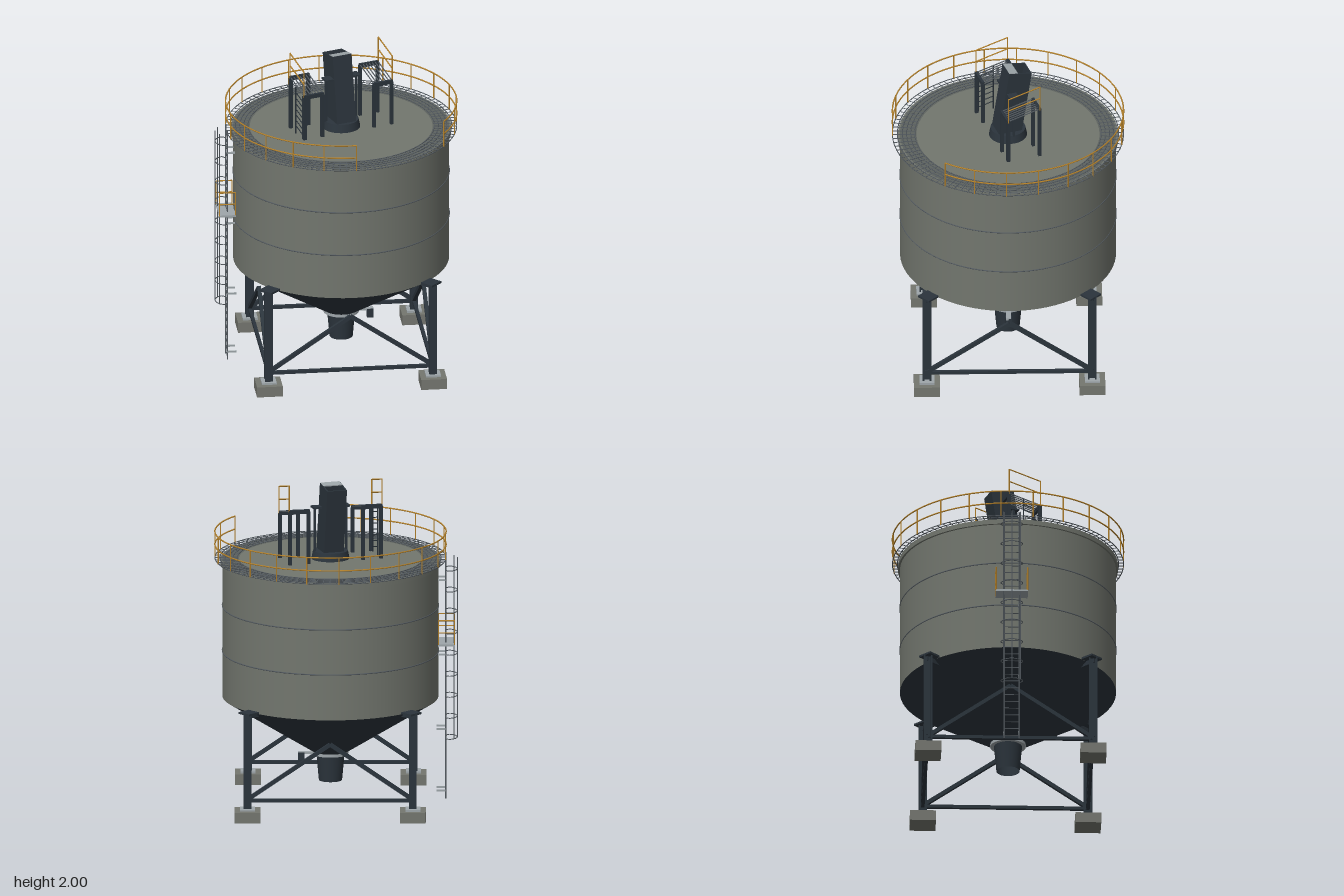
import * as THREE from 'three';

const mat = (name, color, side = THREE.FrontSide) => {
  const m = new THREE.MeshStandardMaterial({ color, side });
  m.name = name;
  return m;
};
const shell = mat('shell grey', 0x72766e);
const walk = mat('walkway grey', 0x5e635f);
const dark = mat('dark steel', 0x2b343c, THREE.DoubleSide);
const steel = mat('galvanised steel', 0x9ea6aa);
const grate = mat('grating steel', 0x555c62);
const yellow = mat('safety yellow', 0xb9852c);
const concrete = mat('concrete', 0x74766f);

function add(parent, name, geo, material, x = 0, y = 0, z = 0) {
  const m = new THREE.Mesh(geo, material);
  m.name = name;
  m.position.set(x, y, z);
  parent.add(m);
  return m;
}
const box = (p, name, m, w, h, d, x, y, z) => add(p, name, new THREE.BoxGeometry(w, h, d), m, x, y, z);
const cyl = (p, name, m, rt, rb, h, y, open = false, seg = 72) =>
  add(p, name, new THREE.CylinderGeometry(rt, rb, h, seg, 1, open), m, 0, y, 0);

// Straight bar between two points, round or square
function bar(p, name, m, a, b, r, square = false) {
  const A = new THREE.Vector3(...a), B = new THREE.Vector3(...b);
  const len = A.distanceTo(B);
  const geo = square ? new THREE.BoxGeometry(2 * r, len, 2 * r) : new THREE.CylinderGeometry(r, r, len, 6);
  const mesh = add(p, name, geo, m);
  mesh.position.copy(A).add(B).multiplyScalar(0.5);
  mesh.quaternion.setFromUnitVectors(new THREE.Vector3(0, 1, 0), B.sub(A).normalize());
  return mesh;
}

// Horizontal ring or arc; angles run from +x towards +z
function ring(p, name, m, R, r, y, start = 0, arc = Math.PI * 2) {
  const g = new THREE.TorusGeometry(R, r, 5, 96, arc);
  g.rotateX(Math.PI / 2);
  g.rotateY(-start);
  return add(p, name, g, m, 0, y, 0);
}
function group(parent, name) {
  const g = new THREE.Group();
  g.name = name;
  parent.add(g);
  return g;
}

function buildTank(t) {
  cyl(t, 'tankShell', shell, 0.65, 0.65, 0.84, 1.075);
  cyl(t, 'topCurb', shell, 0.662, 0.662, 0.03, 1.485);
  for (const y of [0.936, 1.214]) ring(t, 'weldSeam', grate, 0.65, 0.004, y);
  cyl(t, 'hopperCone', dark, 0.65, 0.1, 0.345, 0.4825, true);
  cyl(t, 'outletFlange', steel, 0.107, 0.107, 0.025, 0.308, false, 32);
  cyl(t, 'outletSpout', dark, 0.085, 0.07, 0.165, 0.2175, true, 32);
  box(t, 'valveArm', steel, 0.1, 0.012, 0.03, 0.145, 0.303, 0);
  box(t, 'valveActuator', dark, 0.04, 0.055, 0.04, 0.175, 0.278, 0);
}

function buildWalkway(t) {
  // Grating around the roof edge
  const band = new THREE.RingGeometry(0.55, 0.65, 72);
  band.rotateX(-Math.PI / 2);
  add(t, 'walkwayBand', band, walk, 0, 1.503, 0);
  for (const R of [0.56, 0.585, 0.61, 0.635, 0.665, 0.695]) ring(t, 'gratingRing', grate, R, 0.003, 1.508);
  for (let i = 0; i < 100; i++) {
    const a = (i / 100) * Math.PI * 2, c = Math.cos(a), s = Math.sin(a);
    bar(t, 'gratingBar', grate, [0.56 * c, 1.507, 0.56 * s], [0.695 * c, 1.507, 0.695 * s], 0.002, true);
  }
  // Guardrail with an opening at the front left
  const start = THREE.MathUtils.degToRad(89), arc = THREE.MathUtils.degToRad(305);
  for (const y of [1.59, 1.67]) ring(t, 'guardrail', yellow, 0.695, 0.0045, y, start, arc);
  for (let i = 0; i < 20; i++) {
    const a = start + (arc * i) / 19, x = 0.695 * Math.cos(a), z = 0.695 * Math.sin(a);
    bar(t, 'guardrailPost', yellow, [x, 1.505, z], [x, 1.67, z], 0.004);
  }
}

function buildSupport(t) {
  const L = 0.497;
  for (const sx of [-1, 1]) for (const sz of [-1, 1]) {
    const leg = group(t, 'leg');
    leg.position.set(sx * L, 0, sz * L);
    box(leg, 'footing', concrete, 0.156, 0.065, 0.156, 0, 0.0325, 0);
    box(leg, 'basePlate', steel, 0.09, 0.012, 0.09, 0, 0.071, 0);
    // H-section column
    for (const s of [-1, 1]) box(leg, 'columnFlange', dark, 0.046, 0.59, 0.01, 0, 0.37, s * 0.021);
    box(leg, 'columnWeb', dark, 0.01, 0.59, 0.036, 0, 0.37, 0);
    // Bracket reaching in under the shell
    const bracket = group(leg, 'bracket');
    bracket.rotation.y = Math.atan2(-sz, sx);
    box(bracket, 'bracketPlate', dark, 0.17, 0.012, 0.09, -0.055, 0.662, 0);
    box(bracket, 'bracketGusset', dark, 0.14, 0.03, 0.012, -0.06, 0.643, 0);
  }
  // Tie beam and inverted V bracing on each side
  for (let i = 0; i < 4; i++) {
    const side = group(t, 'bracing');
    side.rotation.y = (i * Math.PI) / 2;
    box(side, 'tieBeam', dark, 2 * L, 0.02, 0.02, 0, 0.125, L);
    for (const s of [-1, 1]) bar(side, 'diagonalBrace', dark, [s * L, 0.13, L], [0, 0.47, L], 0.0115, true);
  }
}

function buildLadder(root) {
  const g = group(root, 'accessLadder');
  g.position.x = -0.665;
  for (const s of [-1, 1]) {
    bar(g, 'ladderRail', grate, [0, 0.03, s * 0.045], [0, 1.53, s * 0.045], 0.004);
    for (const y of [0.08, 0.46, 0.92, 1.38]) bar(g, 'standoff', steel, [0, y, s * 0.045], [0.055, y, s * 0.045], 0.005, true);
  }
  for (let y = 0.05; y < 1.52; y += 0.045) bar(g, 'rung', grate, [0, y, -0.045], [0, y, 0.045], 0.003);
  // Safety cage
  const hoop = new THREE.CatmullRomCurve3([[0, -0.045], [-0.02, -0.066], [-0.05, -0.052], [-0.07, 0], [-0.05, 0.052],
    [-0.02, 0.066], [0, 0.045]].map(([x, z]) => new THREE.Vector3(x, 0, z)));
  for (let i = 0; i < 9; i++) add(g, 'cageHoop', new THREE.TubeGeometry(hoop, 24, 0.003, 5), grate, 0, 0.4 + i * 0.13, 0);
  for (const [x, z] of [[-0.07, 0], [-0.05, 0.052], [-0.05, -0.052]])
    bar(g, 'cageStrap', grate, [x, 0.4, z], [x, 1.51, z], 0.003);
  // Rest platform
  box(g, 'restPlatform', steel, 0.1, 0.012, 0.195, -0.005, 0.988, 0);
  for (const s of [-1, 1]) {
    const z = s * 0.095;
    for (const x of [-0.053, 0.043]) bar(g, 'restPost', yellow, [x, 0.99, z], [x, 1.14, z], 0.0035);
    for (const y of [1.065, 1.14]) bar(g, 'restRail', yellow, [-0.053, y, z], [0.043, y, z], 0.0035);
  }
}

function buildRoofEquipment(t) {
  const g = group(t, 'roofEquipment');
  g.rotation.y = 0.32;
  const collar = cyl(g, 'inletCollar', dark, 0.105, 0.115, 0.05, 1.53, false, 32);
  collar.position.z = 0.0;
  // Leaning open-topped chute
  const chute = group(g, 'inletChute');
  chute.position.set(0, 1.53, 0.01);
  chute.rotation.x = -0.157;
  const W = 0.125, D = 0.145, H = 0.435;
  for (const s of [-1, 1]) {
    box(chute, 'chuteSide', dark, 0.008, H, D, s * (W / 2 - 0.004), H / 2, 0);
    box(chute, 'chuteWall', dark, W, H, 0.008, 0, H / 2, s * (D / 2 - 0.004));
  }
  box(chute, 'chuteFloor', dark, W - 0.01, 0.01, D - 0.01, 0, H - 0.12, 0);
  box(chute, 'chuteCover', steel, W - 0.006, 0.006, 0.055, 0, H - 0.001, D / 2 - 0.029);

  for (const s of [-1, 1]) {
    // Small ledge beside the chute
    box(g, 'chuteLedge', dark, 0.06, 0.012, 0.06, s * 0.085, 1.826, 0);
    bar(g, 'ledgePost', dark, [s * 0.1, 1.51, 0], [s * 0.1, 1.826, 0], 0.006, true);

    // Sloping service platform
    const p = group(g, 'servicePlatform');
    p.position.set(s * 0.23, 1.805, 0);
    const rise = (z) => -z * 0.24;
    for (const z of [-0.1, 0.1]) {
      box(p, 'platformBeam', dark, 0.13, 0.025, 0.016, 0, rise(z), z);
      for (const x of [-0.058, 0.058]) bar(p, 'platformPost', dark, [x, -0.3, z], [x, rise(z), z], 0.0095, true);
      bar(p, 'handrailPost', yellow, [s * 0.063, rise(z), z], [s * 0.063, rise(z) + 0.165, z], 0.004);
    }
    for (let i = 0; i < 7; i++) {
      const x = -0.06 + i * 0.02;
      bar(p, 'platformSlat', grate, [x, rise(-0.1) + 0.008, -0.1], [x, rise(0.1) + 0.008, 0.1], 0.0025, true);
    }
    for (const h of [0.085, 0.165])
      bar(p, 'handrail', yellow, [s * 0.063, rise(-0.1) + h, -0.1], [s * 0.063, rise(0.1) + h, 0.1], 0.004);
    // Short ladder on one platform
    if (s < 0) {
      for (const z of [-0.01, 0.085]) bar(p, 'shortLadderRail', dark, [-0.066, -0.3, z], [-0.066, rise(z), z], 0.004);
      for (let y = -0.25; y < -0.02; y += 0.036)
        bar(p, 'shortLadderRung', dark, [-0.066, y + rise(-0.01), -0.01], [-0.066, y + rise(0.085), 0.085], 0.003);
    }
  }
}

export function createModel() {
  const root = new THREE.Group();
  root.name = 'storageTank';
  const tank = group(root, 'tank');
  tank.position.x = 0.028;
  buildTank(tank);
  buildWalkway(tank);
  buildSupport(tank);
  buildRoofEquipment(tank);
  buildLadder(root);
  return root;
}
